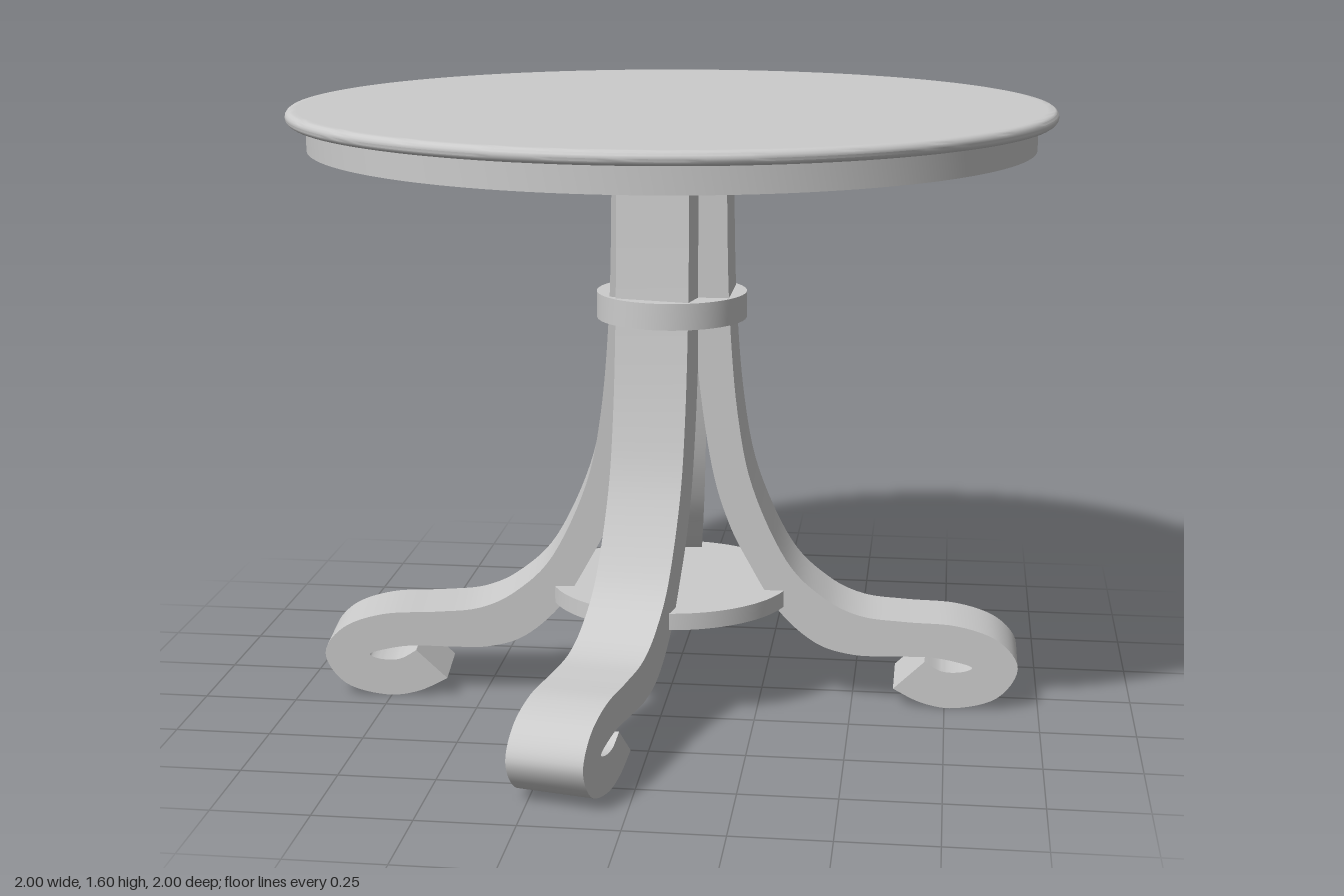
import * as THREE from 'three';
import { toCreasedNormals } from 'three/addons/utils/BufferGeometryUtils.js';

const material = new THREE.MeshStandardMaterial({ color: 0xcccccc });
const CREASE = 0.6;

function part(name, geometry, y = 0) {
  const mesh = new THREE.Mesh(toCreasedNormals(geometry, CREASE), material);
  mesh.name = name;
  mesh.position.y = y;
  return mesh;
}

const toVectors = (points) => points.map(([x, y]) => new THREE.Vector2(x, y));
const smooth = (points, n) => new THREE.SplineCurve(toVectors(points)).getPoints(n);

// Flat disc between two heights
const disc = (name, radius, bottom, top) =>
  part(name, new THREE.CylinderGeometry(radius, radius, top - bottom, 96), (top + bottom) / 2);

// Leg profile in (radius, height): outer edge down to the scroll tip, inner edge back up
function legGeometry() {
  const outer = smooth([
    [0.155, 1.57], [0.157, 1.3], [0.165, 1.05], [0.187, 0.8], [0.228, 0.6], [0.32, 0.4],
    [0.42, 0.3], [0.52, 0.252], [0.64, 0.24], [0.78, 0.233], [0.89, 0.195], [0.943, 0.12],
    [0.89, 0.035], [0.78, 0.002], [0.69, 0.013], [0.612, 0.05],
  ], 90);
  const inner = smooth([
    [0.695, 0.13], [0.74, 0.105], [0.79, 0.104], [0.822, 0.117], [0.79, 0.13], [0.71, 0.143],
    [0.6, 0.141], [0.5, 0.142], [0.4, 0.172], [0.3, 0.26], [0.22, 0.39], [0.165, 0.5],
    [0.12, 0.65], [0.083, 0.9], [0.06, 1.2], [0.055, 1.57],
  ], 90);
  const width = 0.2;
  const geometry = new THREE.ExtrudeGeometry(new THREE.Shape([...outer, ...inner]), {
    depth: width, bevelEnabled: false,
  });
  return geometry.translate(0, 0, -width / 2);
}

export function createModel() {
  const table = new THREE.Group();
  table.name = 'pedestalTable';

  // Round top with a half-round edge
  const edge = 0.0175;
  const profile = [[0, 1.57], [0.97, 1.57]];
  for (let i = 0; i <= 8; i++) {
    const a = -Math.PI / 2 + (i / 8) * Math.PI;
    profile.push([1 - edge + edge * Math.cos(a), 1.57 + edge + edge * Math.sin(a)]);
  }
  profile.push([0.97, 1.605], [0, 1.605]);
  table.add(part('tableTop', new THREE.LatheGeometry(toVectors(profile), 128)));

  // Thin apron ring, open underneath
  const apron = [[0.93, 1.575], [0.93, 1.5], [0.948, 1.5], [0.948, 1.575]];
  table.add(part('apron', new THREE.LatheGeometry(toVectors(apron), 128)));

  // Collar around the bundled legs and the lower tie plate
  table.add(disc('collar', 0.2, 1.04, 1.11));
  table.add(disc('lowerPlate', 0.33, 0.27, 0.315));

  // Four scrolled legs, spaced slightly unevenly (degrees from +x towards +z)
  const leg = part('leg', legGeometry());
  for (const degrees of [0, 102, 174, 260]) {
    const copy = leg.clone();
    copy.rotation.y = -THREE.MathUtils.degToRad(degrees);
    table.add(copy);
  }
  return table;
}
